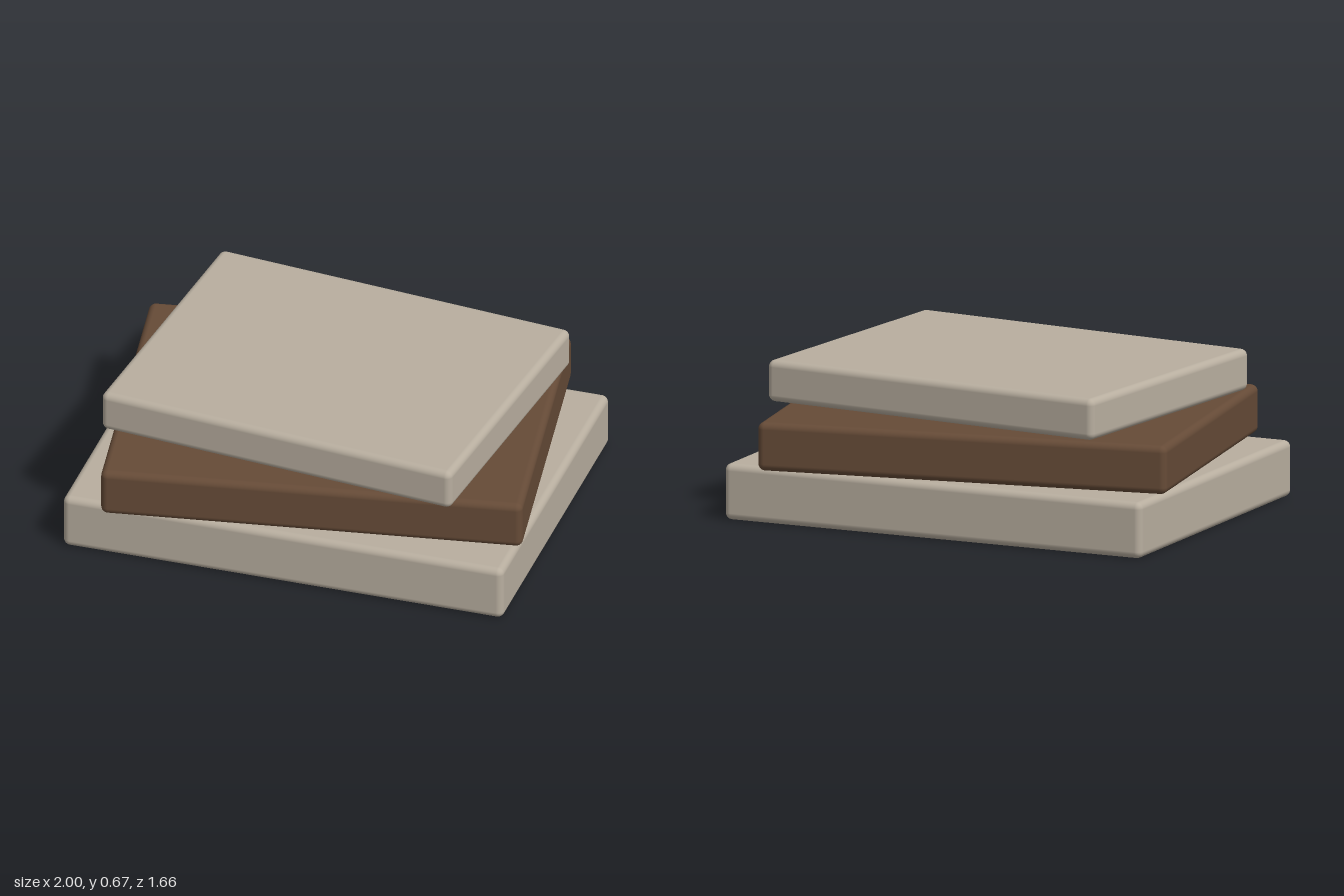
import * as THREE from 'three';
import { RoundedBoxGeometry } from 'three/addons/geometries/RoundedBoxGeometry.js';

export function createModel() {
  const group = new THREE.Group();
  const stone = new THREE.MeshStandardMaterial({ color: 0xb8ae9f });
  const wood = new THREE.MeshStandardMaterial({ color: 0x664b37 });

  // One rounded slab spanning bottom..top, twisted about the vertical axis
  function addSlab(name, width, depth, bottom, top, degrees, material) {
    const geometry = new RoundedBoxGeometry(width, top - bottom, depth, 4, 0.03);
    const slab = new THREE.Mesh(geometry, material);
    slab.name = name;
    slab.position.y = (bottom + top) / 2;
    slab.rotation.y = THREE.MathUtils.degToRad(degrees);
    group.add(slab);
  }

  addSlab('bottomSlab', 1.96, 1.5, 0, 0.243, 0, stone);
  addSlab('middleSlab', 1.81, 1.4, 0.243, 0.453, 9, wood);
  // The top slab floats slightly above the middle one
  addSlab('topSlab', 1.62, 1.28, 0.485, 0.665, -6, stone);

  return group;
}
